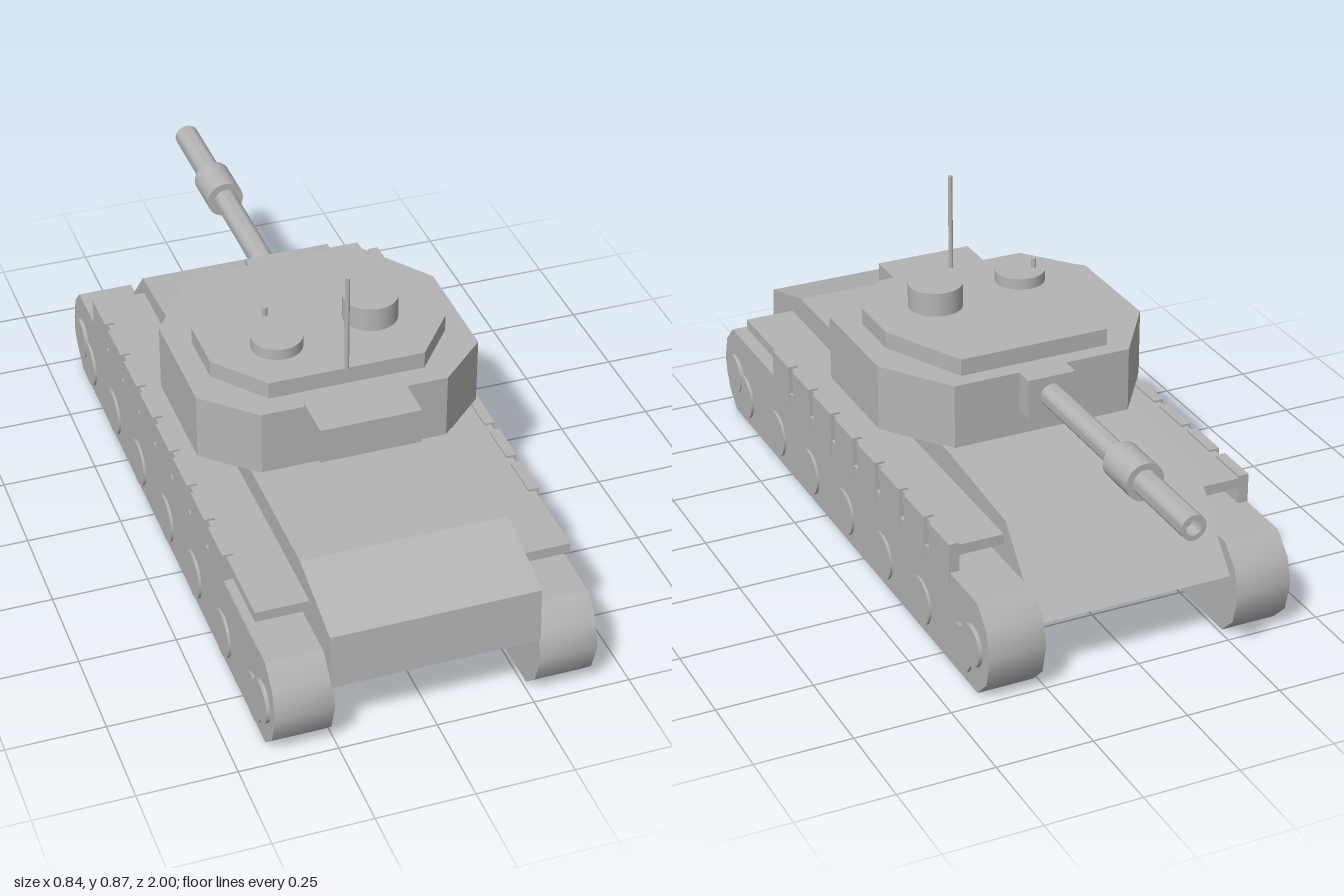
import * as THREE from 'three';
import { toCreasedNormals } from 'three/addons/utils/BufferGeometryUtils.js';

const steel = new THREE.MeshStandardMaterial({ color: 0xb4b4b4 });
steel.name = 'steel grey';

export function createModel() {
  const tank = new THREE.Group();
  tank.name = 'tank';

  const add = (name, geometry, x = 0, y = 0, z = 0) => {
    const mesh = new THREE.Mesh(geometry, steel);
    mesh.name = name;
    mesh.position.set(x, y, z);
    tank.add(mesh);
    return mesh;
  };
  // Box given by its limits on each axis
  const box = (name, x0, x1, y0, y1, z0, z1) =>
    add(name, new THREE.BoxGeometry(x1 - x0, y1 - y0, z1 - z0),
      (x0 + x1) / 2, (y0 + y1) / 2, (z0 + z1) / 2);
  const extrude = (points, depth) => new THREE.ExtrudeGeometry(
    new THREE.Shape(points.map(([a, b]) => new THREE.Vector2(a, b))),
    { depth, bevelEnabled: false });
  // Side profile of (z, y) points, extruded across x and centred
  const sideExtrude = (points, width, crease = 0.1) =>
    toCreasedNormals(extrude(points, width).translate(0, 0, -width / 2).rotateY(-Math.PI / 2), crease);
  // Plan of right-half (x, z) points, mirrored and extruded upwards
  const planExtrude = (half, height) => {
    const points = [...half, ...half.map(([x, z]) => [-x, z]).reverse()];
    return extrude(points.map(([x, z]) => [x, -z]), height).rotateX(-Math.PI / 2);
  };
  const drum = (name, r, y0, y1, x, z, sides = 32) =>
    add(name, new THREE.CylinderGeometry(r, r, y1 - y0, sides), x, (y0 + y1) / 2, z);

  // Hull
  add('hull', sideExtrude([
    [0.92, 0.135], [0.985, 0.18], [0.975, 0.325], [0.76, 0.388], [-0.22, 0.39],
    [-0.555, 0.363], [-0.73, 0.17], [-0.66, 0.135]], 0.53));

  // Running gear on both sides
  const trackProfile = [
    [0.925, 0], [0.975, 0.05], [1, 0.13], [0.98, 0.2], [0.93, 0.25],
    [-0.7, 0.25], [-0.75, 0.2], [-0.77, 0.13], [-0.75, 0.05], [-0.7, 0]];
  const wheelZ = [0.845, 0.6, 0.36, 0.12, -0.13, -0.37, -0.61];
  const skirtCuts = [0.625, 0.48, 0.335, 0.185, 0.035, -0.11, -0.26, -0.41, -0.56];
  for (const side of [1, -1]) {
    const span = (a, b) => (side > 0 ? [a, b] : [-b, -a]);
    const label = side > 0 ? 'left' : 'right';
    add(label + 'Track', sideExtrude(trackProfile, 0.148, 0.7), side * 0.334);
    box(label + 'Fender', ...span(0.255, 0.4), 0.294, 0.322, -0.545, 0.83);

    const wheel = (name, r, y, z, outer) => {
      const geometry = new THREE.CylinderGeometry(r, r, 0.03, 32).rotateZ(Math.PI / 2);
      add(label + name, geometry, side * (outer - 0.015), y, z);
    };
    wheelZ.forEach((z) => wheel('RoadWheel', 0.063, 0.079, z, 0.415));
    wheel('FrontWheel', 0.055, 0.122, 0.91, 0.418);
    wheel('RearWheel', 0.055, 0.122, -0.675, 0.418);

    // Skirt plates separated by narrow gaps
    for (let i = 0; i + 1 < skirtCuts.length; i++) {
      box(label + 'SkirtPlate', ...span(0.383, 0.41), 0.21, 0.328,
        skirtCuts[i + 1] + 0.015, skirtCuts[i] - 0.015);
    }
  }

  // Turret and its raised roof
  add('turret', planExtrude(
    [[0.242, -0.213], [0.37, -0.03], [0.37, 0.285], [0.242, 0.405]], 0.176), 0, 0.386);
  add('turretRoof', planExtrude(
    [[0.203, -0.168], [0.31, 0.055], [0.31, 0.21], [0.203, 0.345]], 0.047), 0, 0.56);
  box('stowageBox', -0.131, 0.131, 0.474, 0.569, 0.4, 0.52);
  box('mantlet', -0.065, 0.065, 0.455, 0.562, -0.265, -0.2);

  // Gun with a sleeve and a hollow muzzle
  const gunProfile = [
    [0, -0.2], [0.031, -0.2], [0.031, -0.64], [0.05, -0.64], [0.05, -0.762],
    [0.033, -0.762], [0.033, -1], [0.02, -1], [0.02, -0.96], [0, -0.96]]
    .map(([r, z]) => new THREE.Vector2(r, -z));
  const gun = new THREE.LatheGeometry(gunProfile, 24).rotateX(-Math.PI / 2);
  add('gunBarrel', toCreasedNormals(gun, 0.6), 0, 0.51, 0);

  // Roof fittings
  drum('commanderCupola', 0.071, 0.6, 0.671, 0.131, 0.147);
  drum('loaderHatch', 0.066, 0.6, 0.637, -0.132, 0.195);
  drum('periscope', 0.007, 0.663, 0.688, -0.145, 0.14, 12);
  drum('antenna', 0.006, 0.6, 0.868, 0, 0.34, 12);

  return tank;
}
